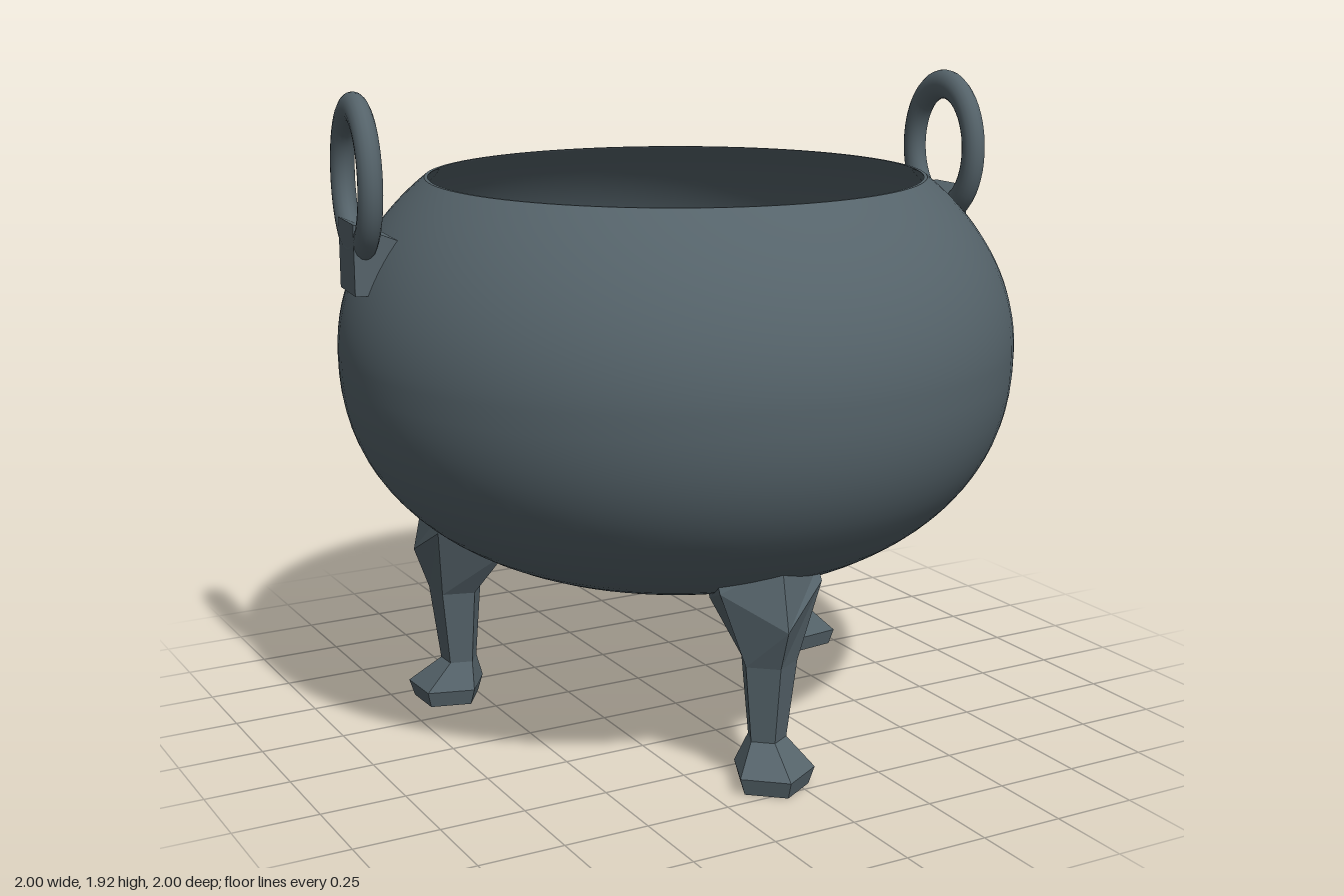
import * as THREE from 'three';

const iron = new THREE.MeshStandardMaterial({ color: 0x55636a });
iron.name = 'dark iron';

function add(parent, geometry, name) {
  const mesh = new THREE.Mesh(geometry, iron);
  mesh.name = name;
  parent.add(mesh);
  return mesh;
}

// Flat-faced solid lofted through rings of equal point count, closed by caps
function loft(rings) {
  const n = rings[0].length;
  const pos = rings.flat(2);
  const index = [];
  for (let r = 0; r < rings.length - 1; r++) {
    for (let i = 0; i < n; i++) {
      const a = r * n + i, b = r * n + (i + 1) % n;
      index.push(a, b, b + n, a, b + n, a + n);
    }
  }
  const top = (rings.length - 1) * n;
  for (let i = 1; i < n - 1; i++) {
    index.push(0, i + 1, i, top, top + i, top + i + 1);
  }
  const g = new THREE.BufferGeometry();
  g.setAttribute('position', new THREE.Float32BufferAttribute(pos, 3));
  g.setIndex(index);
  const flat = g.toNonIndexed();
  flat.computeVertexNormals();
  return flat;
}

// Bowl wall radius at height y: fuller below the belly, elliptical above it
const MID = 1.16, BOTTOM = 0.455, RIM = 1.655;
function bowlPoint(t, wall) {
  if (t < 0.5) {
    const a = t * Math.PI, e = 2 / 2.3;
    return new THREE.Vector2((1 - wall) * Math.sin(a) ** e,
      MID - (MID - BOTTOM - wall * 1.4) * Math.max(0, Math.cos(a)) ** e);
  }
  const k = (t - 0.5) * 2;
  const y = MID + (RIM - MID) * Math.sin(k * Math.PI / 2 * 0.999);
  const r = Math.sqrt(1 - ((y - MID) / 0.73) ** 2);
  return new THREE.Vector2(r - THREE.MathUtils.lerp(wall, Math.min(wall, 0.01), k), y);
}

function bowlProfile(wall) {
  const pts = [];
  for (let i = 0; i <= 48; i++) pts.push(bowlPoint(i / 48, wall));
  return pts;
}

// Five-sided ring with one corner pointing outward (+z)
function pentagon(y, z, r) {
  return fiveRing([z + r, y], [z + 0.309 * r, y, 0.951 * r], [z - 0.809 * r, y, 0.588 * r]);
}

// Ring from its outer corner, side corners and inner corners: [z, y, half width]
function fiveRing(f, s, b) {
  return [[0, f[1], f[0]], [s[2], s[1], s[0]], [b[2], b[1], b[0]],
    [-b[2], b[1], b[0]], [-s[2], s[1], s[0]]];
}

function legGeometry(lift) {
  return loft([
    pentagon(0, 0.68, 0.105),
    pentagon(0.05, 0.68, 0.122),
    pentagon(0.13, 0.64, 0.058),
    pentagon(0.36, 0.646, 0.084),
    fiveRing([0.775, 0.48], [0.665, 0.58, 0.157], [0.47, 0.505, 0.1]),
    fiveRing([0.73, 0.67 + lift], [0.64, 0.62 + lift, 0.157], [0.46, 0.54 + lift, 0.1]),
  ]);
}

export function createModel() {
  const model = new THREE.Group();
  model.name = 'cauldron';

  // Bowl
  const bowl = new THREE.Group();
  bowl.name = 'bowl';
  model.add(bowl);
  const outer = bowlProfile(0), inner = bowlProfile(0.05).reverse();
  add(bowl, new THREE.LatheGeometry(outer, 96), 'bowlOutside');
  add(bowl, new THREE.LatheGeometry(inner, 96), 'bowlInside');
  add(bowl, new THREE.LatheGeometry([outer[48], inner[0]], 96), 'rim');

  // Three legs: angle around the bowl and outward shift
  [[-5.4, 0], [115.5, 0.035], [-124, 0.04]].forEach(([deg, shift], i) => {
    const a = THREE.MathUtils.degToRad(deg);
    const leg = add(model, legGeometry(shift), 'leg' + (i + 1));
    leg.rotation.y = a;
    leg.position.set(Math.sin(a) * shift, 0, Math.cos(a) * shift);
  });

  // Two handles: a lug through the wall and an oval ring
  [['leftHandle', -0.7], ['rightHandle', 186.6]].forEach(([name, deg]) => {
    const handle = new THREE.Group();
    handle.name = name;
    handle.rotation.y = THREE.MathUtils.degToRad(deg);
    if (deg > 90) handle.rotation.y = Math.PI - THREE.MathUtils.degToRad(deg - 180);
    model.add(handle);

    // Lug, its top sloping down towards the inside
    const lug = new THREE.BoxGeometry(0.22, 0.2, 0.17);
    lug.translate(0.88, 1.47, 0);
    const p = lug.attributes.position;
    for (let i = 0; i < p.count; i++) {
      if (p.getX(i) < 0.88) p.setY(i, p.getY(i) > 1.47 ? 1.48 : 1.36);
    }
    const flatLug = lug.toNonIndexed();
    flatLug.computeVertexNormals();
    add(handle, flatLug, 'lug');

    // Ring
    const ring = new THREE.TorusGeometry(0.1575, 0.0365, 16, 48);
    ring.rotateY(Math.PI / 2);
    ring.scale(0.95, 1.235, 1);
    ring.translate(0.956, 1.685, 0);
    add(handle, ring, 'ring');
  });

  return model;
}
